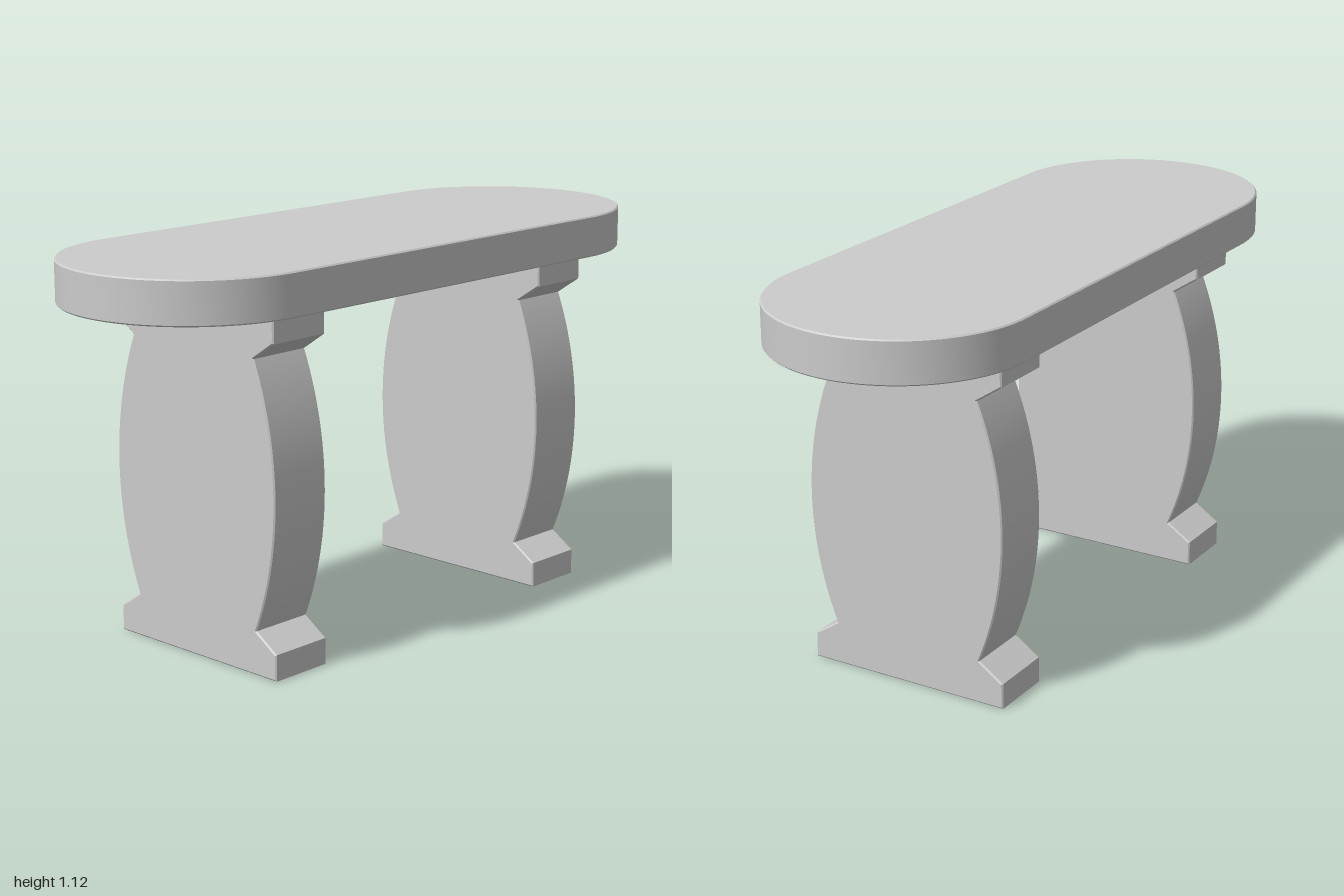
import * as THREE from 'three';
import { toCreasedNormals } from 'three/addons/utils/BufferGeometryUtils.js';

const material = new THREE.MeshStandardMaterial({ color: 0xcccccc });
const BEVEL = 0.004;

// Extrudes a shape to a total depth centred on z = 0, with finely eased edges.
function slab(shape, depth) {
  const geometry = new THREE.ExtrudeGeometry(shape, {
    depth: depth - 2 * BEVEL,
    curveSegments: 32,
    bevelThickness: BEVEL,
    bevelSize: BEVEL,
    bevelOffset: -BEVEL,
    bevelSegments: 1,
  });
  geometry.translate(0, 0, -depth / 2 + BEVEL);
  return toCreasedNormals(geometry, 0.5);
}

// Stadium outline of the seat.
function seatShape() {
  const radius = 0.373, centre = 1 - radius;
  const shape = new THREE.Shape();
  shape.absarc(centre, 0, radius, -Math.PI / 2, Math.PI / 2, false);
  shape.absarc(-centre, 0, radius, Math.PI / 2, Math.PI * 1.5, false);
  return shape;
}

// Leg outline: square foot and head joined by a bulging body.
function legShape() {
  const half = 0.31, radius = 0.975, offset = half - radius;
  const sweep = Math.asin(0.375 / radius);
  const shape = new THREE.Shape();
  shape.moveTo(-half, 0);
  shape.lineTo(half, 0);
  shape.lineTo(half, 0.075);
  shape.absarc(offset, 0.5, radius, -sweep, sweep, false);
  shape.lineTo(half, 0.925);
  shape.lineTo(half, 1);
  shape.lineTo(-half, 1);
  shape.lineTo(-half, 0.925);
  shape.absarc(-offset, 0.5, radius, Math.PI - sweep, Math.PI + sweep, false);
  shape.lineTo(-half, 0.075);
  return shape;
}

export function createModel() {
  const bench = new THREE.Group();
  bench.name = 'bench';

  // Seat slab
  const seat = new THREE.Mesh(slab(seatShape(), 0.122).rotateX(-Math.PI / 2), material);
  seat.name = 'seat';
  seat.position.y = 1.061;
  bench.add(seat);

  // Pair of slab legs
  const legGeometry = slab(legShape(), 0.195).rotateY(Math.PI / 2);
  for (const side of [1, -1]) {
    const leg = new THREE.Mesh(legGeometry, material);
    leg.name = side > 0 ? 'leftLeg' : 'rightLeg';
    leg.position.x = side * 0.55;
    bench.add(leg);
  }
  return bench;
}
